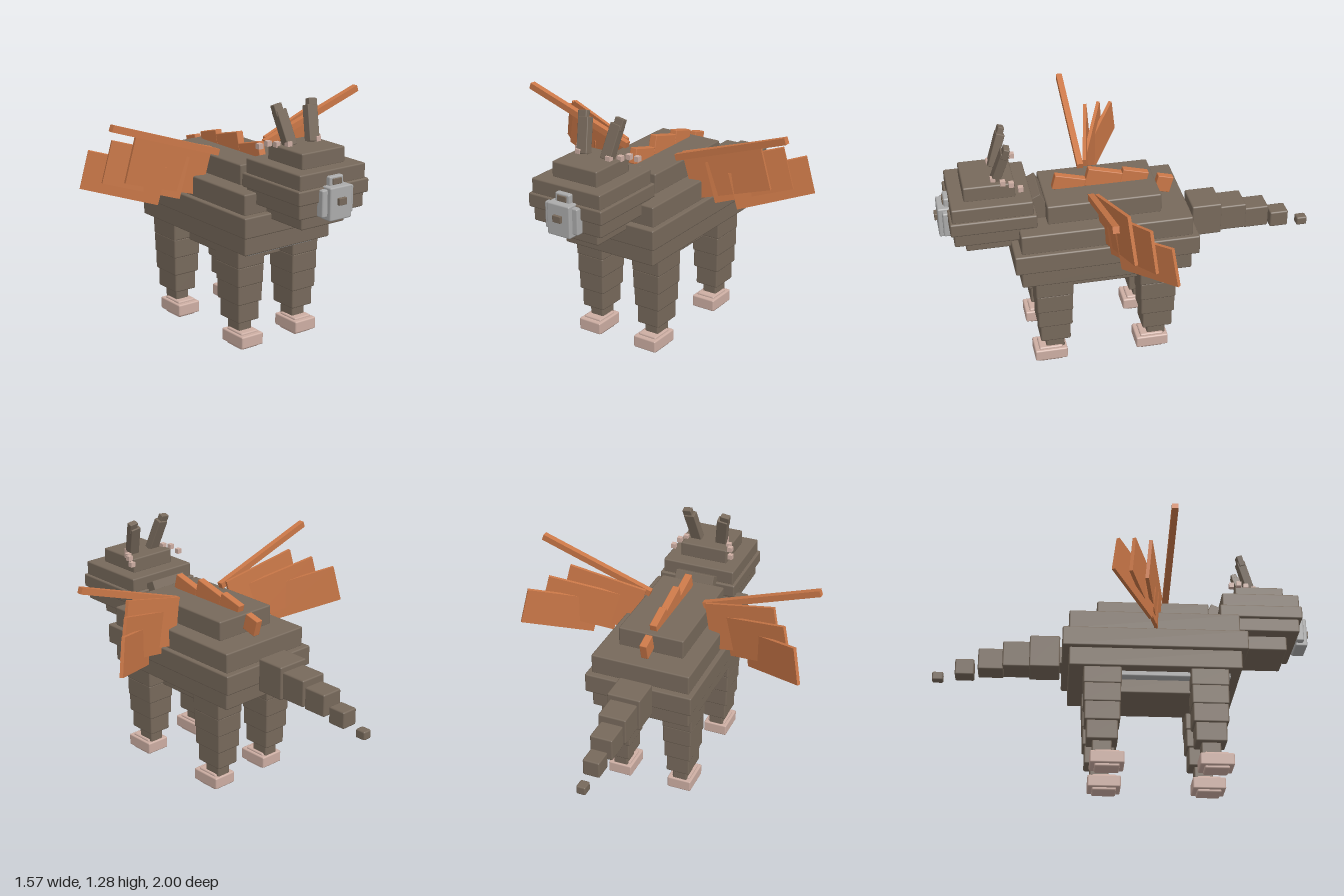
import * as THREE from 'three';
import { RoundedBoxGeometry } from 'three/addons/geometries/RoundedBoxGeometry.js';

const material = (name, color) => {
  const m = new THREE.MeshStandardMaterial({ color });
  m.name = name;
  return m;
};

export function createModel() {
  const brown = material('brown hide', 0x77695b);
  const orange = material('orange membrane', 0xcb7848);
  const silver = material('silver plate', 0xababab);
  const pink = material('pale pink', 0xcdaea3);
  const root = new THREE.Group();
  root.name = 'wingedBeast';

  const add = (name, geometry, mat, parent = root) => {
    const mesh = new THREE.Mesh(geometry, mat);
    mesh.name = name;
    parent.add(mesh);
    return mesh;
  };
  const group = (name) => {
    const g = new THREE.Group();
    g.name = name;
    root.add(g);
    return g;
  };
  // Bevelled block given by its ranges on each axis
  const block = (name, [x0, x1], [y0, y1], [z0, z1], mat = brown, parent = root, bevel = 0.008) => {
    const mesh = add(name, new RoundedBoxGeometry(x1 - x0, y1 - y0, z1 - z0, 1, bevel), mat, parent);
    mesh.position.set((x0 + x1) / 2, (y0 + y1) / 2, (z0 + z1) / 2);
    return mesh;
  };
  const centred = (name, half, y, z, ...rest) => block(name, [-half, half], y, z, ...rest);
  const tilted = (name, size, pos, rx, rz, mat, parent = root) => {
    const mesh = add(name, new RoundedBoxGeometry(...size, 1, 0.004), mat, parent);
    mesh.position.set(...pos);
    mesh.rotation.set(rx, 0, rz);
    return mesh;
  };

  // Stepped body
  const body = group('body');
  centred('belly', 0.16, [0.43, 0.535], [-0.12, 0.42], brown, body);
  centred('bellyPlate', 0.21, [0.503, 0.535], [-0.21, 0.545], silver, body);
  centred('lowerBody', 0.27, [0.53, 0.635], [-0.29, 0.6], brown, body);
  centred('middleBody', 0.295, [0.63, 0.737], [-0.325, 0.633], brown, body);
  centred('upperBody', 0.27, [0.732, 0.842], [-0.292, 0.595], brown, body);
  centred('back', 0.18, [0.837, 0.945], [-0.145, 0.445], brown, body);
  tilted('neck', [0.22, 0.14, 0.16], [0, 0.885, 0.51], 0.45, 0, brown, body);

  // Head, with jaw and crown
  const head = group('head');
  centred('jaw', 0.135, [0.705, 0.79], [0.52, 0.86], brown, head);
  centred('lowerHead', 0.2, [0.782, 0.86], [0.515, 0.92], brown, head);
  centred('cheeks', 0.217, [0.855, 0.927], [0.5, 0.937], brown, head);
  centred('brow', 0.203, [0.922, 1.002], [0.515, 0.925], brown, head);
  centred('crown', 0.133, [0.997, 1.08], [0.595, 0.855], brown, head);

  // Snout plate and nose
  centred('snoutRim', 0.097, [0.785, 0.92], [0.92, 0.963], silver, head);
  centred('snout', 0.067, [0.768, 0.932], [0.92, 0.985], silver, head);
  centred('nose', 0.024, [0.843, 0.878], [0.97, 1], brown, head, 0.003);
  centred('noseBridge', 0.043, [0.925, 0.975], [0.91, 0.95], silver, head);
  centred('noseBridgeInset', 0.027, [0.935, 0.965], [0.93, 0.956], brown, head, 0.003);

  for (const side of [-1, 1]) {
    // Horns leaning back and outward
    tilted('horn', [0.06, 0.18, 0.045], [side * 0.083, 1.16, 0.66], -0.32, -side * 0.15, brown, head);
    tilted('hornTip', [0.05, 0.06, 0.032], [side * 0.106, 1.246, 0.633], -0.32, -side * 0.15, brown, head);
    // Small tufts around the horns
    for (const [x, y, z] of [[0.09, 1.09, 0.7], [0.125, 1.085, 0.655], [0.147, 1.085, 0.615], [0.165, 1.065, 0.572]]) {
      const tuft = add('tuft', new THREE.BoxGeometry(0.026, 0.026, 0.026), pink, head);
      tuft.position.set(side * x, y, z);
    }
  }

  // Tapering legs: half width, half depth, bottom, top
  const legSteps = [
    [0.083, 0.098, 0.44, 0.535], [0.08, 0.095, 0.34, 0.445], [0.075, 0.091, 0.242, 0.347],
    [0.065, 0.08, 0.142, 0.247], [0.04, 0.05, 0.07, 0.147],
  ];
  for (const [place, z] of [['front', 0.433], ['hind', -0.117]]) {
    for (const side of [-1, 1]) {
      const leg = group(place + 'Leg');
      const x = side * 0.174;
      for (const [w, d, y0, y1] of legSteps) {
        block('legSegment', [x - w, x + w], [y0, y1], [z - d, z + d], brown, leg);
      }
      const f = z + 0.026;
      block('foot', [x - 0.067, x + 0.067], [0.015, 0.08], [f - 0.087, f + 0.087], pink, leg);
      block('footCore', [x - 0.053, x + 0.053], [0, 0.09], [f - 0.063, f + 0.063], pink, leg);
    }
  }

  // Tail blocks shrinking backward
  const tail = group('tail');
  for (const [half, y0, y1, z0, z1] of [
    [0.065, 0.63, 0.73, -0.36, -0.3], [0.09, 0.6, 0.78, -0.495, -0.335], [0.075, 0.605, 0.75, -0.635, -0.485],
    [0.06, 0.592, 0.712, -0.763, -0.63], [0.045, 0.565, 0.655, -0.882, -0.782], [0.025, 0.54, 0.587, -1, -0.942],
  ]) centred('tailSegment', half, [y0, y1], [z0, z1], brown, tail);

  // Tilted fins along the spine
  for (const [y, z, h, length] of [[0.965, 0.305, 0.08, 0.165], [0.97, 0.125, 0.1, 0.185], [0.95, -0.035, 0.1, 0.14], [0.9, -0.195, 0.09, 0.085]]) {
    tilted('spineFin', [0.04, h, length], [0, y, z], -0.26, 0, orange);
  }

  // Thin slab spanning a parallelogram from three corners
  const slab = (a, b, c, thickness) => {
    const [p, q, r] = [a, b, c].map((v) => new THREE.Vector3(...v));
    const u = q.clone().sub(p);
    const v = r.clone().sub(p);
    const n = new THREE.Vector3().crossVectors(u, v).setLength(thickness);
    const matrix = new THREE.Matrix4().makeBasis(u, v, n);
    matrix.setPosition(p.addScaledVector(u, 0.5).addScaledVector(v, 0.5));
    return new THREE.BoxGeometry(1, 1, 1).applyMatrix4(matrix);
  };
  // Wings: a straight spar with three overlapping panels
  const panels = [
    [[0.17, 0.985, 0.19], [0.57, 1.095, 0.11], [0.225, 0.735, 0.165]],
    [[0.29, 0.945, 0.165], [0.655, 1.055, 0.02], [0.34, 0.73, 0.145]],
    [[0.41, 0.905, 0.14], [0.74, 1.0, -0.065], [0.45, 0.71, 0.115]],
  ];
  for (const side of [-1, 1]) {
    const wing = group(side > 0 ? 'leftWing' : 'rightWing');
    const spar = add('wingSpar', new THREE.BoxGeometry(0.66, 0.034, 0.032), orange, wing);
    spar.position.set(side * 0.465, 1.066, 0.216);
    spar.rotation.z = side * Math.atan(0.34);
    for (const corners of panels) {
      add('wingPanel', slab(...corners.map(([x, y, z]) => [side * x, y, z]), 0.018), orange, wing);
    }
  }
  return root;
}
